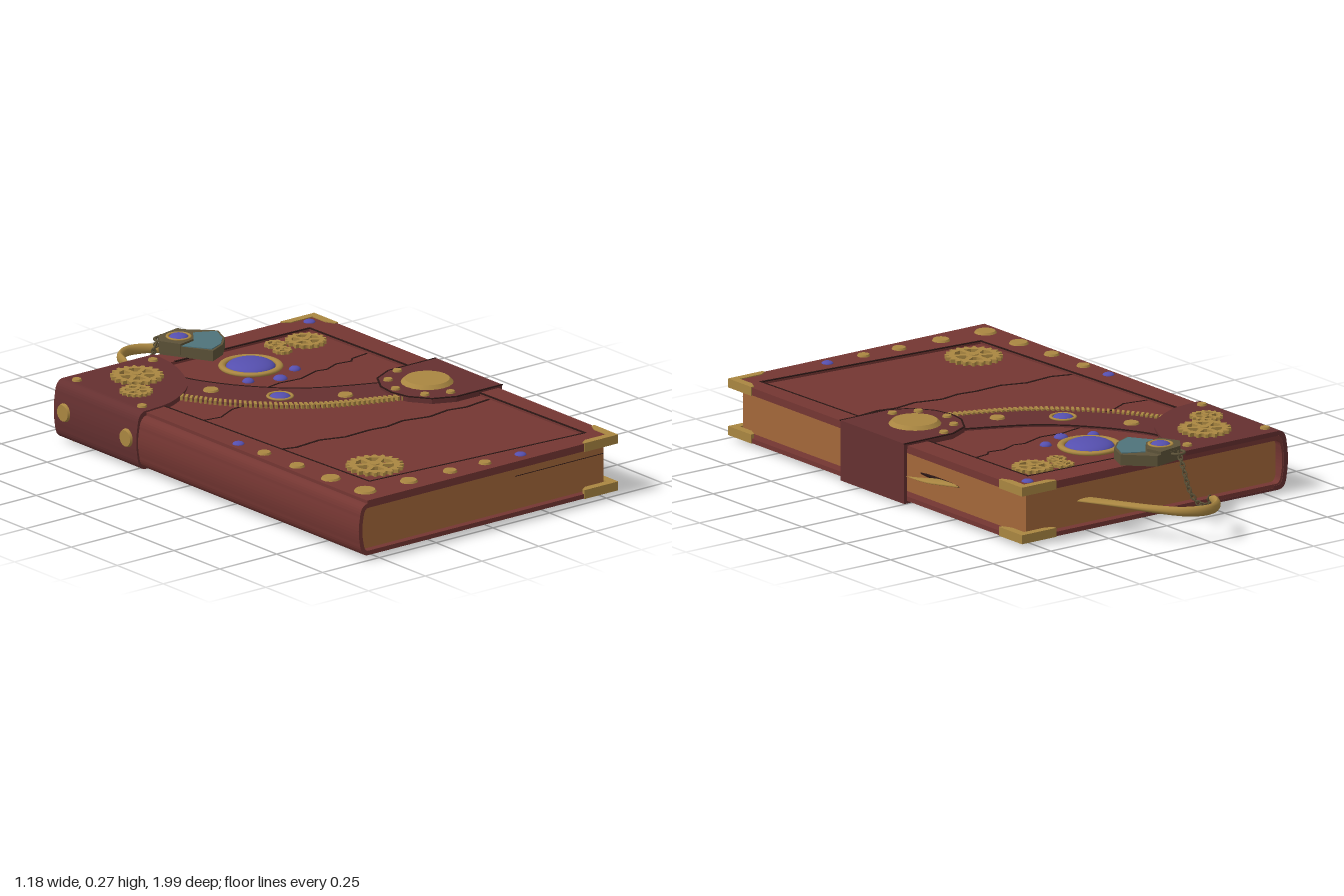
import * as THREE from 'three';

const mat = (color) => new THREE.MeshStandardMaterial({ color, side: THREE.DoubleSide });
const LEATHER = mat(0x743632), PATCH = mat(0x653030), DARK = mat(0x2a1614), PAPER = mat(0xa3673a);
const GOLD = mat(0xa98641), BRONZE = mat(0x5c5238), TEAL = mat(0x4f737a), BLUE = mat(0x554fae);
const V = (x, y, z) => new THREE.Vector3(x, y, z);

export function createModel() {
  const model = new THREE.Group();
  const add = (name, geo, material, x = 0, y = 0, z = 0) => {
    const m = new THREE.Mesh(geo, material);
    m.name = name;
    m.position.set(x, y, z);
    model.add(m);
    return m;
  };
  const path = (pts) => pts.map(([x, z]) => new THREE.Vector2(x, -z));
  const smooth = (pts, n = 24) => new THREE.SplineCurve(pts.map((p) => new THREE.Vector2(...p))).getPoints(n).map((p) => [p.x, p.y]);

  // Flat plate outlined in x, z between two heights
  const plate = (name, pts, y0, y1, material, hole) => {
    const shape = new THREE.Shape(path(pts));
    if (hole) shape.holes.push(new THREE.Path(path(hole)));
    const g = new THREE.ExtrudeGeometry(shape, { depth: y1 - y0, bevelEnabled: false });
    return add(name, g.rotateX(-Math.PI / 2), material, 0, y0, 0);
  };

  // C-shaped leather wrap around the spine, run along z
  const wrap = (name, x0, x1, yb, yt, t, z0, z1, material) => {
    const s = new THREE.Shape(), r = 0.045, q = r - t;
    s.moveTo(x1, yb);
    s.lineTo(x0 + r, yb);
    s.quadraticCurveTo(x0 + 0.012, yb, x0 + 0.008, yb + r);
    s.quadraticCurveTo(x0 - 0.003, (yb + yt) / 2, x0 + 0.008, yt - r);
    s.quadraticCurveTo(x0 + 0.012, yt, x0 + r, yt);
    s.lineTo(x1, yt);
    s.lineTo(x1, yt - t);
    s.lineTo(x0 + r, yt - t);
    s.quadraticCurveTo(x0 + 0.012 + t, yt - t, x0 + 0.008 + t, yt - t - q);
    s.quadraticCurveTo(x0 - 0.003 + t, (yb + yt) / 2, x0 + 0.008 + t, yb + t + q);
    s.quadraticCurveTo(x0 + 0.012 + t, yb + t, x0 + r, yb + t);
    s.lineTo(x1, yb + t);
    const g = new THREE.ExtrudeGeometry(s, { depth: z1 - z0, bevelEnabled: false, curveSegments: 8 });
    return add(name, g, material, 0, 0, z0);
  };

  // Cover, page block and raised border
  wrap('cover', -0.585, 0.555, 0.018, 0.205, 0.016, -0.66, 0.99, LEATHER);
  add('pages', new THREE.BoxGeometry(1.075, 0.156, 1.595), PAPER, -0.0225, 0.1115, 0.1675);
  plate('coverBorder', [[-0.545, -0.66], [0.555, -0.66], [0.555, 0.99], [-0.545, 0.99]], 0.2, 0.216, LEATHER,
    [[-0.47, -0.5], [-0.41, 0.835], [0.487, 0.902], [0.45, -0.555], [-0.15, -0.57]]);
  const line = (name, pts, w, y) => {
    for (let i = 0; i < pts.length - 1; i++) {
      const [a, b] = [pts[i], pts[i + 1]], dx = b[0] - a[0], dz = b[1] - a[1];
      const m = add(name, new THREE.BoxGeometry(Math.hypot(dx, dz) + w / 2, 0.003, w), DARK, (a[0] + b[0]) / 2, y, (a[1] + b[1]) / 2);
      m.rotation.y = -Math.atan2(dz, dx);
    }
  };
  line('panelSeam', [[-0.459, -0.28], [-0.41, 0.835], [0.487, 0.902], [0.45, -0.555], [-0.13, -0.57]], 0.007, 0.2155);
  line('coverCrack', [[-0.435, 0.35], [-0.36, 0.375], [-0.25, 0.365], [-0.16, 0.395], [-0.05, 0.39], [0.02, 0.4], [0.1, 0.385], [0.2, 0.41], [0.29, 0.395], [0.36, 0.41], [0.47, 0.395]], 0.009, 0.205);
  line('coverCrack', [[-0.08, -0.17], [0.02, -0.19], [0.11, -0.18], [0.2, -0.21], [0.24, -0.2], [0.3, -0.225], [0.36, -0.215], [0.38, -0.235], [0.45, -0.245]], 0.006, 0.205);
  line('coverCrack', [[-0.45, -0.05], [-0.36, -0.035], [-0.28, -0.075], [-0.22, -0.08]], 0.005, 0.205);

  // Page parting around the bookmark and a faint page line
  const slit = add('pageGap', new THREE.SphereGeometry(1, 16, 8), DARK, 0.513, 0.116, -0.145);
  slit.scale.set(0.006, 0.008, 0.12);
  add('pageLine', new THREE.BoxGeometry(0.39, 0.002, 0.003), DARK, 0.32, 0.153, 0.965);

  // Spine corner patch on top, spine and underside
  const arc = smooth([[-0.15, -0.66], [-0.17, -0.52], [-0.26, -0.34], [-0.41, -0.235], [-0.545, -0.212]]);
  const corner = [[-0.545, -0.662], ...arc];
  plate('cornerPatchTop', corner, 0.205, 0.222, PATCH);
  plate('cornerPatchBottom', corner, 0.012, 0.02, PATCH);
  wrap('cornerPatchSpine', -0.592, -0.53, 0.012, 0.222, 0.017, -0.662, -0.212, PATCH);

  // Curved leather band with a toothed edge
  const lower = [[-0.36, -0.3], [-0.27, -0.14], [-0.15, 0], [0, 0.11], [0.24, 0.205]];
  const upper = [[-0.215, -0.46], [-0.19, -0.37], [-0.1, -0.22], [0.05, -0.07], [0.3, 0.05]];
  plate('curvedBand', [...smooth(lower), ...smooth(upper).reverse()], 0.2, 0.213, PATCH);
  line('bandSeam', smooth(upper, 16), 0.007, 0.2125);
  const zip = new THREE.SplineCurve(lower.map((p) => new THREE.Vector2(...p)));
  for (let i = 0; i <= 46; i++) {
    const p = zip.getPointAt(i / 46), t = zip.getTangentAt(i / 46);
    const m = add('bandTooth', new THREE.BoxGeometry(0.009, 0.016, 0.032), GOLD, p.x, 0.212, p.y);
    m.rotation.y = -Math.atan2(t.y, t.x) + 0.25;
  }

  // Clasp strap folded around the fore-edge
  const strap = [[0.57, -0.015], [0.36, -0.015], [0.28, 0.025], [0.235, 0.1], [0.225, 0.17], [0.24, 0.24], [0.29, 0.31], [0.37, 0.345], [0.57, 0.345]];
  plate('strapTop', strap, 0.205, 0.225, PATCH);
  plate('strapBottom', strap, 0.01, 0.019, PATCH);
  add('strapSide', new THREE.BoxGeometry(0.012, 0.213, 0.36), PATCH, 0.564, 0.1175, 0.165);
  line('strapSeam', strap, 0.006, 0.2245);

  // Rivets
  const rivet = (x, z, r, y, h = 0.008, material = GOLD) =>
    add('rivet', new THREE.CylinderGeometry(r * 0.85, r, h, 20), material, x, y + h / 2, z);
  for (const [x, z, r] of [[-0.505, 0.38, 0.025], [-0.502, 0.555, 0.028], [-0.495, 0.73, 0.035], [-0.485, 0.905, 0.04],
    [-0.305, 0.92, 0.032], [-0.13, 0.928, 0.026], [0.018, 0.935, 0.023]]) rivet(x, z, r, 0.215);
  for (const [x, z, r] of [[-0.222, -0.26, 0.029], [0.103, 0.07, 0.028]]) rivet(x, z, r, 0.211);
  for (const [x, z] of [[0.38, 0.01], [0.295, 0.065], [0.255, 0.155], [0.295, 0.265], [0.38, 0.3]]) {
    rivet(x, z, 0.017, 0.224);
    rivet(x, z, 0.017, 0.003).rotation.x = Math.PI;
  }
  for (const [x, z] of [[-0.53, -0.61], [-0.195, -0.61], [-0.53, -0.255]]) {
    rivet(x, z, 0.018, 0.221);
    rivet(x, z, 0.018, 0.005).rotation.x = Math.PI;
  }
  for (const z of [-0.605, -0.265]) {
    const m = rivet(-0.592, z, 0.034, 0.113, 0.012);
    m.rotation.z = Math.PI / 2;
  }
  rivet(0.39, 0.16, 0.092, 0.224, 0.014).name = 'claspDisc';

  // Gemstones, some in gold rings
  const gem = (x, z, r, y, h, ring) => {
    const g = new THREE.SphereGeometry(r, 24, 8, 0, Math.PI * 2, 0, Math.PI / 2).scale(1, h / r, 1);
    add('gem', g, BLUE, x, y, z);
    if (ring) add('gemRing', new THREE.TorusGeometry((r + ring) / 2, (ring - r) / 2, 8, 32).rotateX(Math.PI / 2).scale(1, 0.6, 1), GOLD, x, y + 0.004, z);
  };
  gem(0.05, -0.38, 0.086, 0.208, 0.028, 0.112);
  gem(-0.08, -0.06, 0.036, 0.212, 0.014, 0.048);
  for (const [x, z, r] of [[-0.05, -0.27, 0.021], [0.055, -0.225, 0.025], [0.155, -0.27, 0.021]]) gem(x, z, r, 0.204, 0.014);
  for (const [x, z] of [[-0.51, 0.245], [0.17, 0.94], [0.49, -0.605]]) gem(x, z, 0.021, 0.215, 0.01);

  // Cog wheels with spoke openings
  const gear = (x, z, r, y, teeth, spokes) => {
    const pts = [];
    for (let i = 0; i < teeth * 4; i++) {
      const a = (i / (teeth * 4)) * Math.PI * 2, q = i % 4 < 2 ? r : r * 0.86;
      pts.push([x + q * Math.cos(a), z + q * Math.sin(a)]);
    }
    const m = plate('gear', pts, y, y + 0.013, GOLD);
    const shape = new THREE.Shape(path(pts));
    for (let k = 0; k < spokes; k++) {
      const c = (k / spokes) * Math.PI * 2, w = Math.PI / spokes;
      const hole = [[0.3, -0.4], [0.66, -0.75], [0.69, 0], [0.66, 0.75], [0.3, 0.4]]
        .map(([q, s]) => [x + r * q * Math.cos(c + s * w), z + r * q * Math.sin(c + s * w)]);
      shape.holes.push(new THREE.Path(path(hole)));
    }
    m.geometry = new THREE.ExtrudeGeometry(shape, { depth: 0.013, bevelEnabled: false }).rotateX(-Math.PI / 2);
    add('gearHub', new THREE.CylinderGeometry(r * 0.16, r * 0.2, 0.017, 12), GOLD, x, y + 0.008, z);
  };
  gear(-0.35, -0.505, 0.092, 0.222, 18, 6);
  gear(-0.45, -0.385, 0.058, 0.219, 16, 5);
  gear(0.363, -0.467, 0.072, 0.205, 16, 5);
  gear(0.257, -0.503, 0.038, 0.203, 9, 3);
  gear(0.238, -0.44, 0.034, 0.203, 9, 3);
  gear(-0.285, 0.71, 0.1, 0.206, 20, 6);

  // Metal corner guards on both boards
  for (const s of [-1, 1]) for (const [y0, y1] of [[0.187, 0.219], [0.017, 0.049]]) {
    const zc = 0.165, L = (x, d) => [x, zc + s * (0.828 - d)];
    plate('cornerGuard', [L(0.41, 0), L(0.558, 0), L(0.558, 0.13), L(0.545, 0.13), L(0.528, 0.095), L(0.528, 0.028), L(0.435, 0.028), L(0.41, 0.012)], y0, y1, GOLD);
  }

  // Keystone fob with teal face and gem
  plate('fobBody', [[-0.125, -0.66], [-0.09, -0.71], [0.03, -0.735], [0.12, -0.645], [0.09, -0.57], [0.04, -0.52], [-0.03, -0.487]], 0.216, 0.254, BRONZE);
  plate('fobFace', [[-0.085, -0.59], [-0.02, -0.605], [0.035, -0.675], [0.108, -0.638], [0.08, -0.57], [0.035, -0.525], [-0.024, -0.5]], 0.25, 0.257, TEAL);
  plate('fobHead', [[-0.125, -0.66], [-0.09, -0.71], [0.01, -0.73], [0.025, -0.67], [-0.02, -0.605], [-0.09, -0.59]], 0.225, 0.264, BRONZE);
  gem(-0.045, -0.655, 0.034, 0.262, 0.014, 0.045);

  // Bookmark blade through the pages, ending in a hook
  const curve = new THREE.CatmullRomCurve3([[0.578, -0.035], [0.555, -0.11], [0.42, -0.36], [0.245, -0.66], [0.14, -0.87],
    [0.075, -0.957], [0, -0.985], [-0.06, -0.955], [-0.083, -0.91], [-0.09, -0.865]].map(([x, z]) => V(x, 0.116, z)));
  const N = 90, ribbon = new THREE.TubeGeometry(curve, N, 1, 12, false), pos = ribbon.attributes.position;
  for (let i = 0; i <= N; i++) {
    const t = i / N, p = curve.getPointAt(t), end = Math.min(1, t * 12, (1 - t) * 25 + 0.15);
    const w = (t < 0.55 ? 0.03 : THREE.MathUtils.lerp(0.03, 0.012, Math.min(1, (t - 0.55) / 0.25))) * end;
    const h = (t < 0.55 ? 0.006 : THREE.MathUtils.lerp(0.006, 0.019, Math.min(1, (t - 0.55) / 0.3))) * end;
    for (let j = 0; j <= 12; j++) {
      const v = V().fromBufferAttribute(pos, i * 13 + j).sub(p).multiply(V(w, h, w)).add(p);
      pos.setXYZ(i * 13 + j, v.x, v.y, v.z);
    }
  }
  ribbon.computeVertexNormals();
  add('bookmarkHook', ribbon, GOLD);

  // Chain from the fob ring to the hook
  add('fobRing', new THREE.TorusGeometry(0.026, 0.005, 8, 20).rotateX(Math.PI / 2), BRONZE, -0.07, 0.245, -0.715);
  const chain = new THREE.CatmullRomCurve3([V(-0.065, 0.245, -0.735), V(-0.06, 0.2, -0.765), V(-0.065, 0.12, -0.8),
    V(-0.085, 0.082, -0.83), V(-0.1, 0.09, -0.855), V(-0.09, 0.116, -0.87)]);
  for (let i = 0; i <= 18; i++) {
    const p = chain.getPointAt(i / 18);
    const link = add('chainLink', new THREE.TorusGeometry(0.008, 0.0028, 6, 10).scale(1.3, 1, 1), BRONZE, p.x, p.y, p.z);
    link.quaternion.setFromUnitVectors(V(1, 0, 0), chain.getTangentAt(i / 18));
    link.rotateX((i % 2) * Math.PI / 2);
  }
  return model;
}
